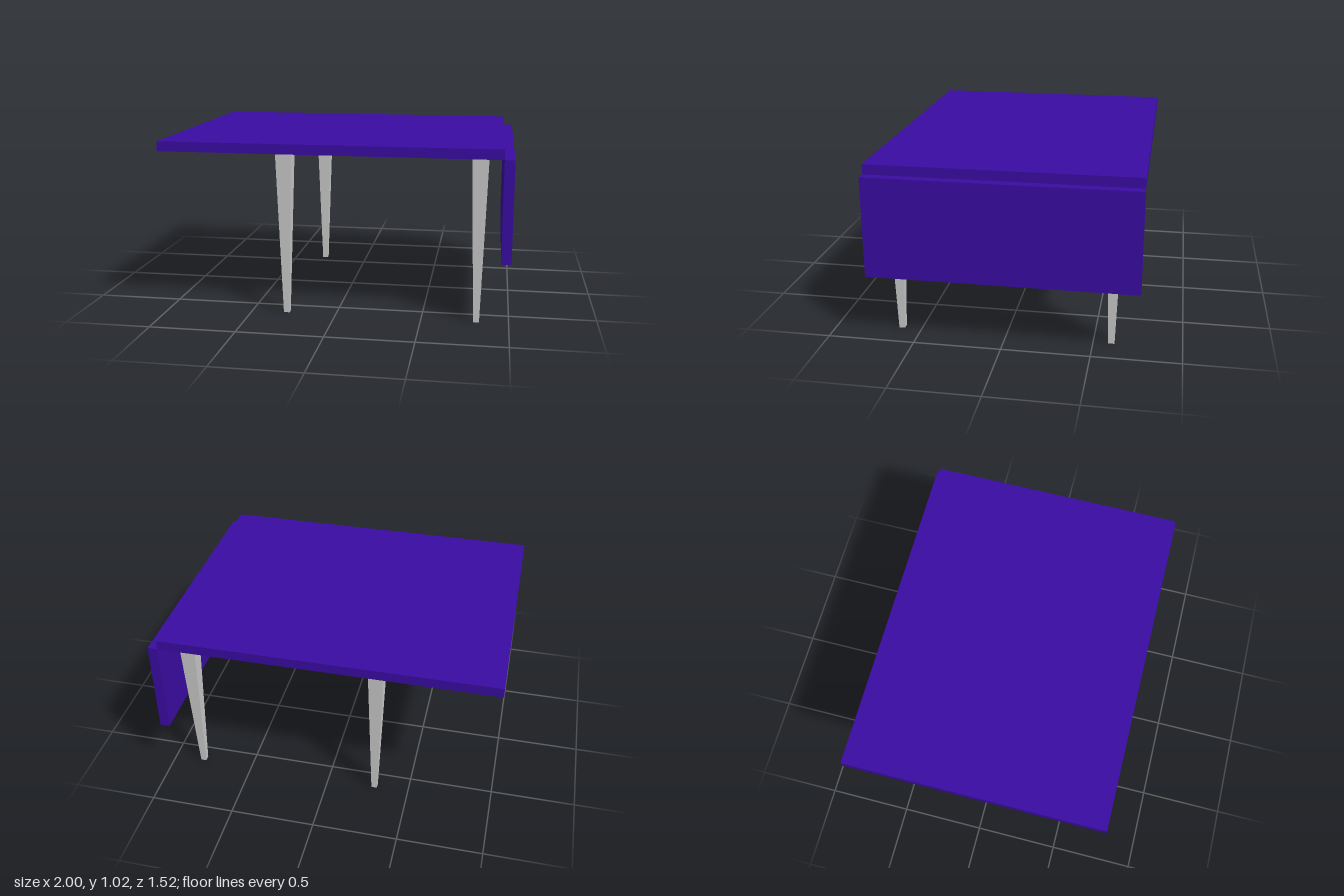
import * as THREE from 'three';

const purple = new THREE.MeshStandardMaterial({ color: 0x3a0ca3 });
const grey = new THREE.MeshStandardMaterial({ color: 0xcccccc, flatShading: true });

// Box given by its minimum and maximum corners
function panel(name, [x0, y0, z0], [x1, y1, z1]) {
  const mesh = new THREE.Mesh(new THREE.BoxGeometry(x1 - x0, y1 - y0, z1 - z0), purple);
  mesh.position.set((x0 + x1) / 2, (y0 + y1) / 2, (z0 + z1) / 2);
  mesh.name = name;
  return mesh;
}

export function createModel() {
  const table = new THREE.Group();
  table.name = 'dropLeafTable';

  const underside = 0.963, thickness = 0.057, halfDepth = 0.762, hingeX = 0.943;

  // Flat top, and the leaf hanging down beside its edge
  table.add(panel('tableTop', [-1, underside, -halfDepth], [hingeX, underside + thickness, halfDepth]));
  table.add(panel('dropLeaf', [hingeX, 0.385, -halfDepth], [1, underside, halfDepth]));

  // Square legs tapering towards the floor
  const topWidth = 0.094, footWidth = 0.034;
  const legGeometry = new THREE.CylinderGeometry(topWidth * Math.SQRT1_2, footWidth * Math.SQRT1_2, underside, 4);
  legGeometry.rotateY(Math.PI / 4);
  legGeometry.translate(0, underside / 2, 0);
  for (const [side, x] of [['Right', -0.292], ['Left', 0.816]]) {
    for (const [end, z] of [['front', 0.617], ['back', -0.603]]) {
      const leg = new THREE.Mesh(legGeometry, grey);
      leg.position.set(x, 0, z);
      leg.name = `${end}${side}Leg`;
      table.add(leg);
    }
  }
  return table;
}
